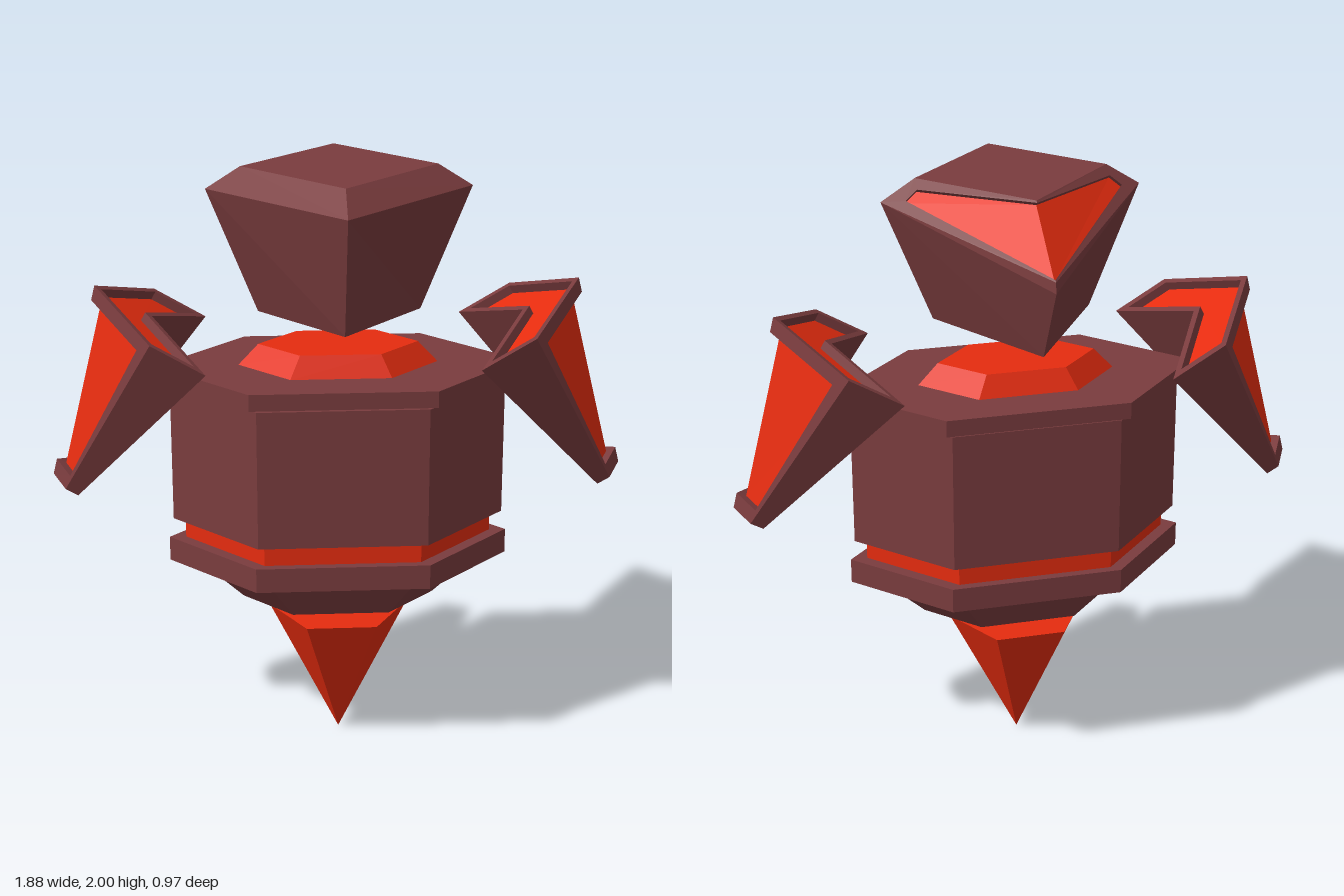
import * as THREE from 'three';

const material = (color) => new THREE.MeshStandardMaterial({ color, flatShading: true, side: THREE.DoubleSide });
const V = (x, y, z) => new THREE.Vector3(x, y, z);

// Builds a mesh from convex polygons, repeated for each [sx, sz] mirror sign pair
function facetMesh(name, polys, mirrors, mat) {
  const pos = [];
  for (const [sx, sz] of mirrors) {
    for (const poly of polys) {
      const p = poly.map((v) => V(v.x * sx, v.y, v.z * sz));
      if (sx * sz < 0) p.reverse();
      for (let i = 1; i < p.length - 1; i++) {
        for (const q of [p[0], p[i], p[i + 1]]) pos.push(q.x, q.y, q.z);
      }
    }
  }
  const geo = new THREE.BufferGeometry();
  geo.setAttribute('position', new THREE.Float32BufferAttribute(pos, 3));
  geo.computeVertexNormals();
  const mesh = new THREE.Mesh(geo, mat);
  mesh.name = name;
  return mesh;
}

// Splits a quad into a three-sided frame with walls and a sunken panel;
// the edge from P3 to P0 lies on the mirror plane and stays open
function inset([P0, P1, P2, P3], depth, u, v0, v1, w0 = v0, w1 = v1) {
  const at = (s, t) => P0.clone().lerp(P1, s).lerp(P3.clone().lerp(P2, s), t);
  const p = [at(0, v0), at(u, w0), at(u, w1), at(0, v1)];
  const q = p.map((c) => c.clone().add(depth));
  const P = [P0, P1, P2, P3];
  const frame = [];
  for (let i = 0; i < 3; i++) {
    frame.push([P[i], P[i + 1], p[i + 1], p[i]]);
    frame.push([p[i], p[i + 1], q[i + 1], q[i]]);
  }
  return { frame, panel: q };
}

// Six-sided ring with points on the x axis
function hexPart(name, rTop, rBottom, y0, y1, mat, squash = 0.588) {
  const geo = new THREE.CylinderGeometry(rTop, rBottom, y1 - y0, 6, 1, false, Math.PI / 2);
  geo.scale(1, 1, squash);
  const mesh = new THREE.Mesh(geo, mat);
  mesh.name = name;
  mesh.position.y = (y0 + y1) / 2;
  return mesh;
}

function makeHead(stone, glow) {
  const head = new THREE.Group();
  head.name = 'head';
  // top, rim and bottom corners: front, side, back
  const Tf = V(0, 2, 0.38), Ts = V(0.31, 2, 0.063), Tb = V(0, 2, -0.25);
  const Rf = V(0, 1.93, 0.487), Rs = V(0.42, 1.93, 0.063), Rb = V(0, 1.785, -0.487);
  const Ru = V(0, 1.82, -0.482);
  const Bf = V(0, 1.53, 0.355), Bs = V(0.26, 1.53, 0.063), Bb = V(0, 1.53, -0.345);
  const back = inset([Tb, Ts, Rs, Ru], V(0, -0.01, 0.01), 0.9, 0.03, 0.97, 0.32, 0.7);
  const shell = [
    [Tf, Ts, Tb], [Tf, Rf, Rs, Ts], [Rf, Bf, Bs, Rs],
    [Rs, Bs, Bb, Rb], [Rs, Rb, Ru], [Bf, Bb, Bs], ...back.frame,
  ];
  const mirrors = [[1, 1], [-1, 1]];
  head.add(facetMesh('headShell', shell, mirrors, stone));
  head.add(facetMesh('headBackPanels', [back.panel], mirrors, glow));
  return head;
}

// Folded shield-like arm, side = +1 for left and -1 for right
function makeArm(side, stone, glow) {
  const arm = new THREE.Group();
  arm.name = side > 0 ? 'leftArm' : 'rightArm';
  // outer fold, outer edge, inner edge and inner fold at the top, then the bottom
  const A = V(0.78, 1.605, 0), B = V(0.6, 1.5, 0.315), E = V(0.43, 1.4, 0.315), F = V(0.6, 1.5, 0);
  const D = V(0.94, 0.965, 0), C = V(0.897, 0.94, 0.08), G = V(0.857, 0.917, 0.08), H = V(0.9, 0.94, 0);
  const outer = inset([A, B, C, D], V(-0.03, -0.014, 0), 0.88, 0.075, 0.92);
  const top = inset([F, E, B, A], V(0.014, -0.026, 0), 0.91, 0.12, 0.88);
  const shell = [[E, F, H, G], [B, E, G, C], [C, G, H, D], ...outer.frame, ...top.frame];
  const mirrors = [[side, 1], [side, -1]];
  arm.add(facetMesh('armShell', shell, mirrors, stone));
  arm.add(facetMesh('armOuterPanels', [outer.panel], mirrors, glow));
  arm.add(facetMesh('armTopPanels', [top.panel], mirrors, glow));
  return arm;
}

export function createModel() {
  const model = new THREE.Group();
  model.name = 'floatingGolem';
  const stone = material(0x7a3c3e);
  const glow = material(0xe62c0f);

  // torso stack, from the neck down
  const torso = new THREE.Group();
  torso.name = 'torso';
  torso.add(
    hexPart('neckCollar', 0.26, 0.325, 1.33, 1.4, glow),
    hexPart('shoulderPlate', 0.597, 0.597, 1.275, 1.33, stone),
    hexPart('shoulderSeam', 0.52, 0.52, 1.255, 1.28, stone),
    hexPart('chest', 0.55, 0.55, 0.795, 1.262, stone),
    hexPart('belt', 0.51, 0.51, 0.725, 0.8, glow),
    hexPart('hipPlate', 0.565, 0.565, 0.645, 0.728, stone),
    hexPart('waistTaper', 0.48, 0.32, 0.505, 0.647, stone),
  );
  model.add(torso);

  // hovering spike below the torso
  model.add(hexPart('spike', 0.232, 0, 0, 0.47, glow, 1));

  model.add(makeHead(stone, glow), makeArm(1, stone, glow), makeArm(-1, stone, glow));
  return model;
}
